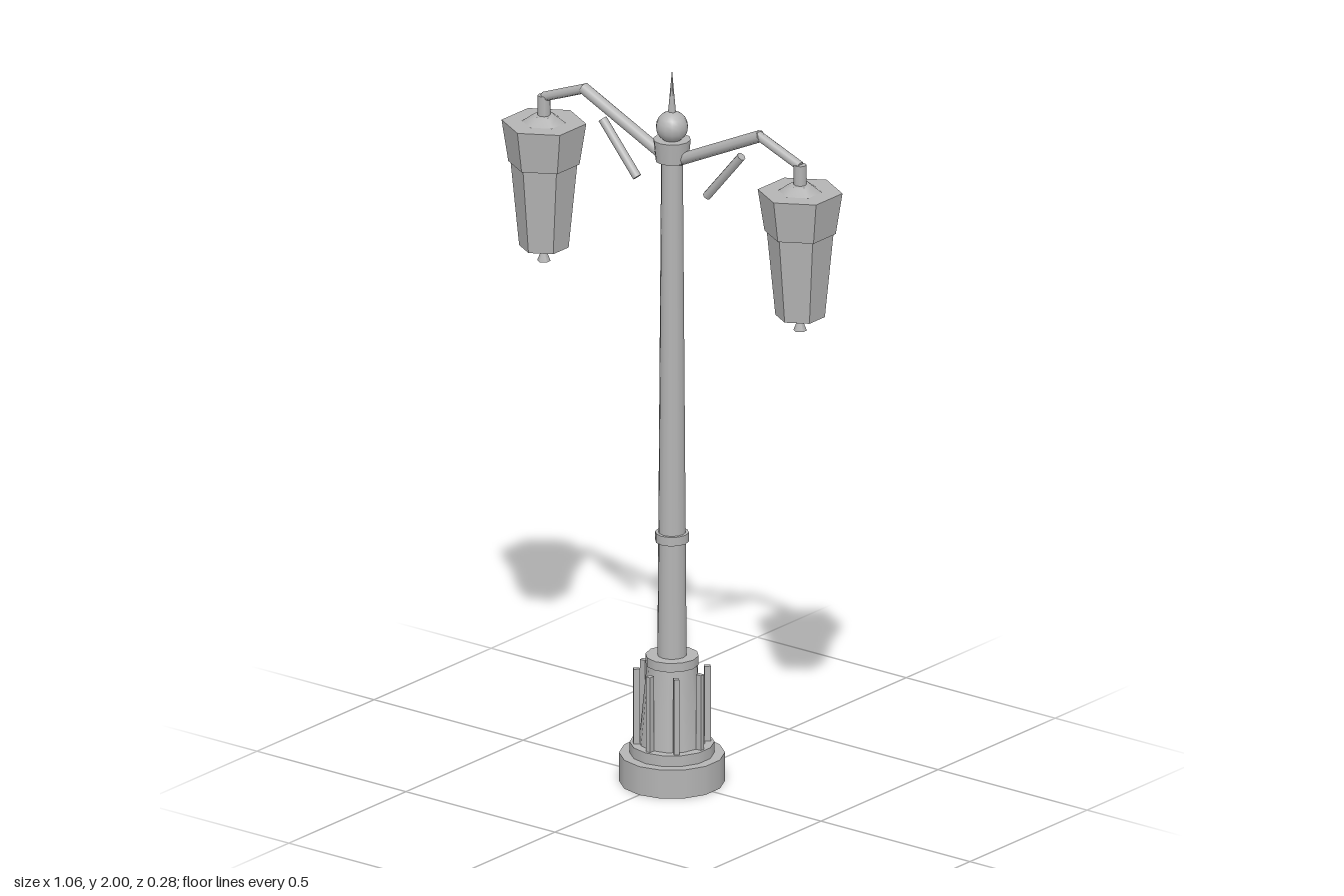
import * as THREE from 'three';

const metal = new THREE.MeshStandardMaterial({ color: 0xb4b4b4 });
metal.name = 'grey metal';

function add(parent, name, geometry, x = 0, y = 0, z = 0) {
  const mesh = new THREE.Mesh(geometry, metal);
  mesh.name = name;
  mesh.position.set(x, y, z);
  parent.add(mesh);
  return mesh;
}

// Upright tapered drum between two heights
function drum(parent, name, y0, y1, r0, r1, sides, flat = false) {
  let g = new THREE.CylinderGeometry(r1, r0, y1 - y0, sides);
  if (flat) {
    g = g.toNonIndexed();
    g.computeVertexNormals();
  }
  return add(parent, name, g, 0, (y0 + y1) / 2, 0);
}

// Straight round bar between two points in the x-y plane
function bar(parent, name, [x0, y0], [x1, y1], r) {
  const length = Math.hypot(x1 - x0, y1 - y0);
  const mesh = add(parent, name, new THREE.CylinderGeometry(r, r, length, 8), (x0 + x1) / 2, (y0 + y1) / 2, 0);
  mesh.rotation.z = Math.atan2(y1 - y0, x1 - x0) - Math.PI / 2;
  return mesh;
}

function createLantern() {
  const lantern = new THREE.Group();
  lantern.name = 'lantern';
  drum(lantern, 'stem', 1.76, 1.83, 0.017, 0.017, 8);
  drum(lantern, 'lanternCap', 1.755, 1.775, 0.058, 0.03, 6);
  drum(lantern, 'lanternHood', 1.64, 1.755, 0.095, 0.113, 6, true);
  drum(lantern, 'lanternBody', 1.405, 1.65, 0.066, 0.09, 6, true);
  drum(lantern, 'lanternFinial', 1.365, 1.405, 0.018, 0.002, 6);
  return lantern;
}

export function createModel() {
  const model = new THREE.Group();
  model.name = 'streetLamp';

  // Stepped foot and ribbed pedestal
  drum(model, 'foot', 0, 0.08, 0.14, 0.14, 14);
  drum(model, 'footStep', 0.08, 0.11, 0.112, 0.112, 14);
  drum(model, 'pedestal', 0.11, 0.335, 0.088, 0.066, 12);
  drum(model, 'pedestalCap', 0.33, 0.355, 0.071, 0.071, 12);
  for (let i = 0; i < 8; i++) {
    const a = (i * Math.PI) / 4;
    const rib = add(model, 'pedestalRib', new THREE.BoxGeometry(0.014, 0.21, 0.017),
      Math.sin(a) * 0.094, 0.215, Math.cos(a) * 0.094);
    rib.rotation.y = a;
  }

  // Pole, ring, collar, ball and spike
  drum(model, 'pole', 0.35, 1.76, 0.039, 0.029, 12);
  drum(model, 'poleRing', 0.675, 0.7, 0.045, 0.045, 12);
  drum(model, 'collar', 1.745, 1.805, 0.044, 0.05, 12);
  add(model, 'ball', new THREE.SphereGeometry(0.043, 14, 10), 0, 1.84, 0);
  add(model, 'spike', new THREE.ConeGeometry(0.011, 0.125, 6), 0, 1.9375, 0);

  // Bent arm, brace and lantern on each side
  for (const s of [1, -1]) {
    const arm = new THREE.Group();
    arm.name = s > 0 ? 'leftArm' : 'rightArm';
    bar(arm, 'innerArm', [0, 1.74], [s * 0.298, 1.881], 0.016);
    bar(arm, 'outerArm', [s * 0.29, 1.881], [s * 0.43, 1.826], 0.013);
    bar(arm, 'brace', [s * 0.117, 1.671], [s * 0.233, 1.808], 0.012);
    const lantern = createLantern();
    lantern.position.x = s * 0.43;
    arm.add(lantern);
    model.add(arm);
  }
  return model;
}
